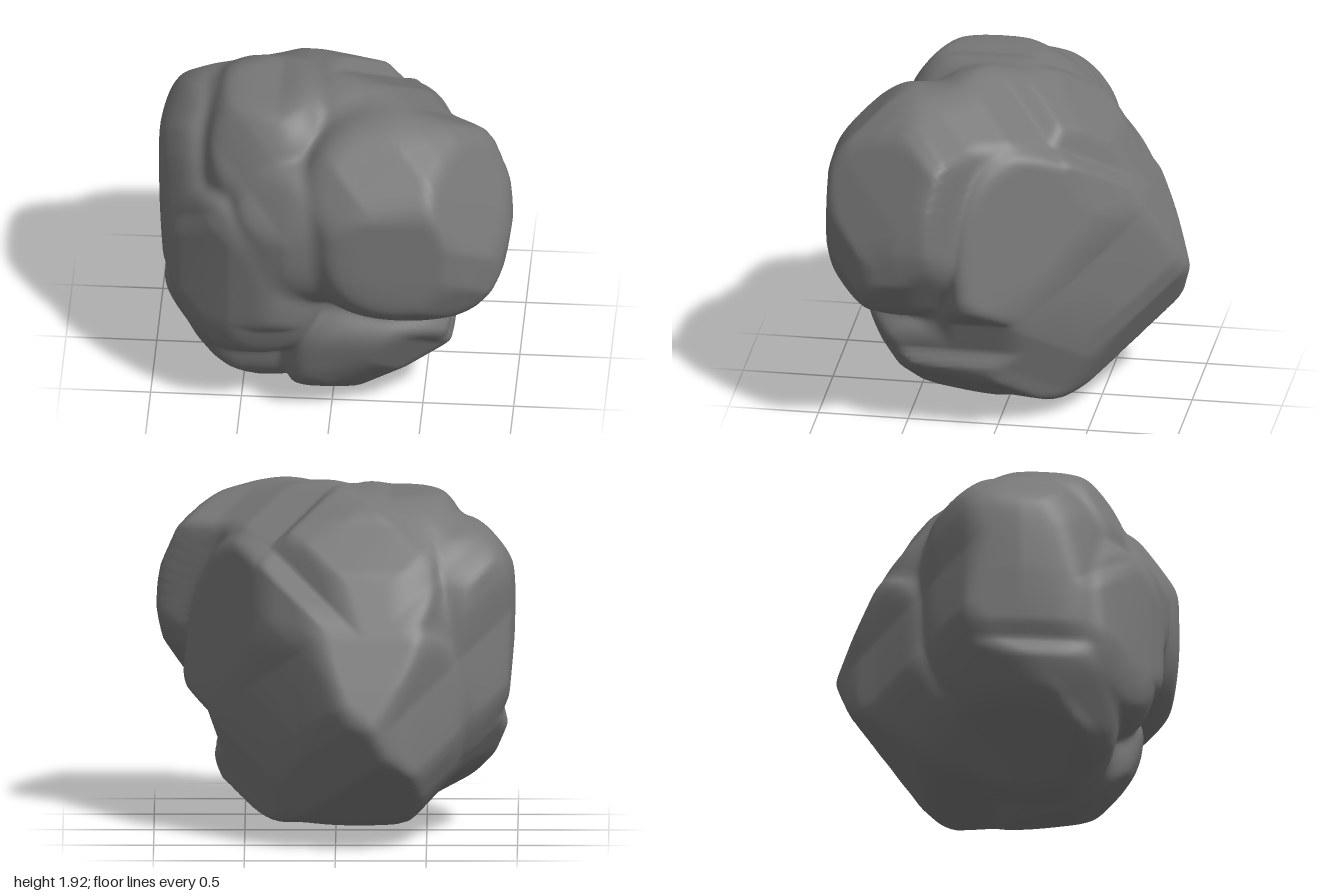
import * as THREE from 'three';
import { mergeVertices } from 'three/addons/utils/BufferGeometryUtils.js';

const MIDDLE = .98;

// Carving profiles: the block is cut along three axes and three diagonals
const frontCut = [[0,0],[.2,.05],[.45,.15],[.63,.3],[.66,.42],[.63,.5],[.7,.7],[.82,.8],[.95,1],[1,1.2],[.97,1.45],[.87,1.68],[.72,1.84],[.5,1.87],[.3,1.92],[0,1.97],[-.3,1.88],[-.67,1.88],[-.73,1.77],[-.85,1.75],[-1,1.5],[-.98,1.1],[-.95,.8],[-.91,.7],[-.94,.6],[-.87,.42],[-.73,.22],[-.4,.07],[-.15,.04]];
const sideCut = [[.2,0],[.4,.03],[.63,.15],[.7,.35],[.78,.65],[.95,.8],[.97,1.1],[.95,1.5],[.85,1.7],[.7,1.85],[.5,1.92],[.2,1.97],[-.1,1.91],[-.28,1.85],[-.32,1.77],[-.55,1.55],[-.75,1.2],[-.87,.95],[-.97,.72],[-.87,.4],[-.75,.22],[-.5,.12],[0,.06]];
const topCut = [[-.18,-.97],[0,-.94],[.15,-.86],[.25,-.7],[.43,-.57],[.65,-.25],[.88,.1],[.9,.22],[1,.28],[.98,.5],[.9,.75],[.75,.88],[.65,.93],[0,.97],[-.2,.95],[-.28,.87],[-.55,.75],[-.85,.55],[-.95,.4],[-1,0],[-.95,-.3],[-.8,-.45],[-.6,-.65],[-.5,-.75],[-.4,-.87]];
const diagonalCutA = [[-.42,.99],[-.21,.96],[-.06,.9],[.03,.91],[.19,.81],[.4,.69],[.45,.54],[.58,.49],[.64,.3],[.67,.11],[.65,-.12],[.58,-.47],[.49,-.69],[.46,-.79],[.17,-.88],[-.24,-.98],[-.47,-.92],[-.66,-.79],[-.79,-.69],[-.8,-.61],[-.9,-.47],[-.98,-.28],[-.99,-.12],[-.96,.21],[-.91,.3],[-.85,.62],[-.79,.78],[-.56,.96]];
const diagonalCutB = [[.03,1.12],[.19,1.1],[.51,.91],[.67,.72],[.78,.53],[.87,.43],[.94,.24],[.96,.01],[.99,-.31],[.92,-.5],[.79,-.69],[.76,-.76],[.47,-.81],[.25,-.86],[-.04,-1.03],[-.2,-.96],[-.46,-.79],[-.6,-.56],[-.63,-.44],[-.62,-.05],[-.67,.2],[-.66,.53],[-.62,.81],[-.52,.97],[-.35,1.08],[-.13,1.12]];
const diagonalCutC = [[-.76,.82],[-.57,.8],[-.31,.83],[-.06,.79],[.04,.84],[.26,.81],[.46,.69],[.65,.56],[.74,.43],[.87,.33],[.88,.21],[.85,.01],[.9,-.31],[.78,-.53],[.6,-.77],[.56,-.82],[.36,-1],[-.01,-1.05],[-.15,-.98],[-.25,-.99],[-.44,-.9],[-.67,-.66],[-.79,-.44],[-1.02,-.21],[-1.13,.01],[-1.14,.21],[-1.02,.46],[-.84,.78]];

// Each cut: profile, its across and up axes, height of its origin
const h = Math.SQRT1_2, q = h / 2, c30 = Math.sqrt(.75);
const cuts = [
  [frontCut, [1, 0, 0], [0, 1, 0], 0],
  [sideCut, [0, 0, 1], [0, 1, 0], 0],
  [topCut, [1, 0, 0], [0, 0, 1], 0],
  [diagonalCutA, [h, 0, -h], [-q, c30, -q], MIDDLE],
  [diagonalCutB, [-h, 0, h], [q, c30, q], MIDDLE],
  [diagonalCutC, [-h, 0, -h], [q, c30, -q], MIDDLE],
];

// Rounded lumps fused into the rock: centre, radii, flat chips (normal, offset)
const lobes = [
  [[0, .95, -.05], [.74, .82, .72], [[.85, .15, -.5, .74]]],      // core
  [[.15, 1.3, .05], [.55, .65, .5], [[.85, .15, -.5, .74]]],      // top saddle
  [[.42, 1.3, .42], [.64, .61, .6], [[.5, 0, -.87, .22], [.7, -.55, -.45, -.08]]], // large front lump
  [[-.45, .9, .4], [.46, .53, .45], []],       // lower front lump
  [[-.12, 1.22, .42], [.46, .46, .46], []],    // bridge between front lumps
  [[-.33, 1.35, .12], [.42, .6, .53], []],     // crown
  [[-.63, 1.05, -.02], [.4, .72, .5], []],     // left flank
  [[-.45, .48, .1], [.52, .45, .48], []],      // left foot
  [[.2, .4, .33], [.5, .42, .46], []],         // front foot
  [[.32, .9, -.2], [.62, .8, .54], [[.85, .15, -.5, .79]]],       // right slab
  [[-.12, .72, -.45], [.58, .64, .55], []],    // back lump
  [[-.15, 1.35, -.35], [.42, .56, .45], []],   // back shoulder
];

const dot = (a, x, y, z) => a[0] * x + a[1] * y + a[2] * z;

const smoothMax = (a, b, k) => {
  const t = Math.max(k - Math.abs(a - b), 0) / k;
  return Math.max(a, b) + t * t * k * .25;
};

// Signed distance to a closed profile, negative inside
function profileDistance(points, x, y) {
  let best = Infinity, inside = false;
  for (let i = 0, j = points.length - 1; i < points.length; j = i++) {
    const [ax, ay] = points[i], [bx, by] = points[j];
    const ex = bx - ax, ey = by - ay, wx = x - ax, wy = y - ay;
    const t = Math.min(1, Math.max(0, (wx * ex + wy * ey) / (ex * ex + ey * ey)));
    best = Math.min(best, (wx - ex * t) ** 2 + (wy - ey * t) ** 2);
    if ((ay > y) !== (by > y) && x < ex * (y - ay) / ey + ax) inside = !inside;
  }
  return (inside ? -1 : 1) * Math.sqrt(best);
}

// Chipped superellipsoid
function lobeDistance([c, r, chips], x, y, z) {
  const sum = Math.abs((x - c[0]) / r[0]) ** 2.6 + Math.abs((y - c[1]) / r[1]) ** 2.6 + Math.abs((z - c[2]) / r[2]) ** 2.6;
  let d = (sum ** (1 / 2.6) - 1) * Math.min(...r);
  for (const chip of chips) d = smoothMax(d, dot(chip, x, y, z) - chip[3], .06);
  return d;
}

// Fused lumps trimmed by the cuts
function rockField(x, y, z) {
  let d = 1;
  for (const lobe of lobes) d = -smoothMax(-d, -lobeDistance(lobe, x, y, z), .035);
  if (d > .2) return d;
  for (const [profile, across, up, base] of cuts) {
    const e = profileDistance(profile, dot(across, x, y, z), dot(up, x, y - base, z));
    d = smoothMax(d, e - .006, .045);
  }
  return d;
}

// Distance from the middle to the outermost surface along a direction
function surfaceRadius(v) {
  const f = r => rockField(v.x * r, MIDDLE + v.y * r, v.z * r);
  let outer = 1.4;
  while (outer > .3 && f(outer - .04) > 0) outer -= .04;
  let inner = outer - .04;
  for (let i = 0; i < 9; i++) {
    const mid = (inner + outer) / 2;
    if (f(mid) > 0) outer = mid; else inner = mid;
  }
  return inner;
}

export function createModel() {
  const group = new THREE.Group();
  group.name = 'boulder';

  let geometry = new THREE.IcosahedronGeometry(1, 48);
  geometry.deleteAttribute('normal');
  geometry.deleteAttribute('uv');
  geometry = mergeVertices(geometry, 1e-4);
  const pos = geometry.attributes.position, v = new THREE.Vector3();
  for (let i = 0; i < pos.count; i++) {
    v.fromBufferAttribute(pos, i).normalize();
    v.multiplyScalar(surfaceRadius(v));
    pos.setXYZ(i, v.x, v.y + MIDDLE, v.z);
  }
  geometry.computeVertexNormals();

  const rock = new THREE.Mesh(geometry, new THREE.MeshStandardMaterial({ color: 0x777777 }));
  rock.name = 'rock';
  group.add(rock);
  return group;
}
